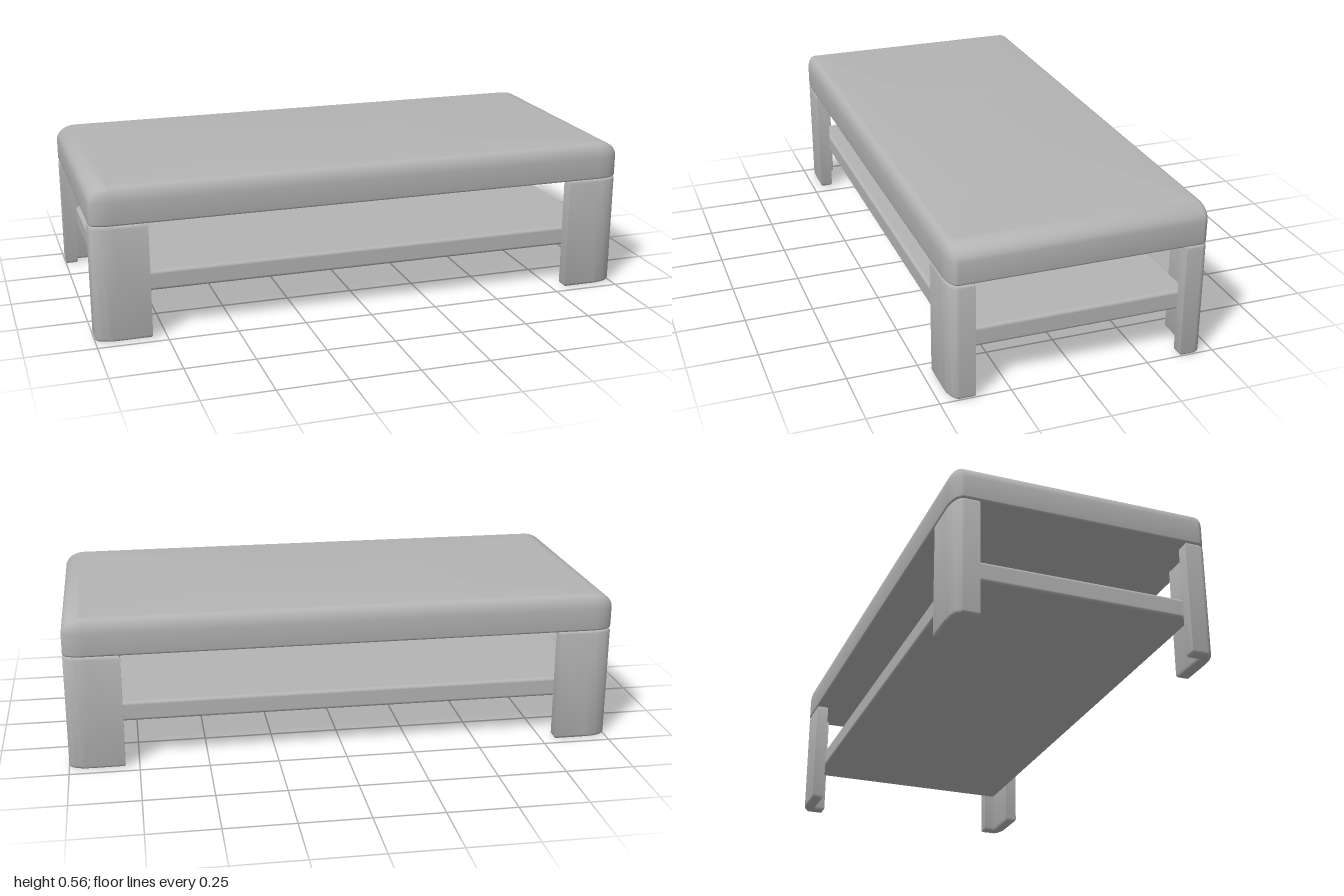
import * as THREE from 'three';
import { toCreasedNormals } from 'three/addons/utils/BufferGeometryUtils.js';
import { RoundedBoxGeometry } from 'three/addons/geometries/RoundedBoxGeometry.js';

const HX = 1, HZ = 0.465;        // half length and half depth
const RX = 0.08, RZ = 0.035;     // corner radii in plan
const TOP = 0.56, UNDER = 0.423; // table top heights

// Plan outline of a rectangle with elliptical corners
function outline(hx, hz, rx, rz, steps = 10) {
  const pts = [];
  for (let q = 0; q < 4; q++) {
    const sx = q === 0 || q === 3 ? 1 : -1, sz = q < 2 ? 1 : -1;
    for (let i = 0; i <= steps; i++) {
      const a = (q + i / steps) * Math.PI / 2;
      pts.push([sx * (hx - rx) + rx * Math.cos(a), sz * (hz - rz) + rz * Math.sin(a)]);
    }
  }
  return pts;
}

// Skin a stack of rings { y, pts } and close both ends
function loft(rings) {
  const n = rings[0].pts.length, pos = [], index = [];
  rings.forEach(({ y, pts }) => pts.forEach(([x, z]) => pos.push(x, y, z)));
  for (let r = 0; r < rings.length - 1; r++) {
    for (let i = 0; i < n; i++) {
      const a = r * n + i, b = r * n + (i + 1) % n;
      index.push(a, a + n, b, b, a + n, b + n);
    }
  }
  const last = (rings.length - 1) * n, c = pos.length / 3;
  pos.push(0, rings[0].y, 0, 0, rings[rings.length - 1].y, 0);
  for (let i = 0; i < n; i++) {
    const j = (i + 1) % n;
    index.push(c, i, j, c + 1, last + j, last + i);
  }
  const g = new THREE.BufferGeometry();
  g.setAttribute('position', new THREE.Float32BufferAttribute(pos, 3));
  g.setIndex(index);
  return toCreasedNormals(g, 0.6);
}

// Slab with a generous round-over above and a small one below
function tableTopGeometry() {
  const rings = [], steps = 8;
  for (let i = 0; i <= 3; i++) {
    const a = i / 3 * Math.PI / 2, d = 0.008 * (1 - Math.sin(a));
    rings.push({ y: UNDER + 0.008 * (1 - Math.cos(a)), pts: outline(HX - d, HZ - d, RX - d, RZ - d) });
  }
  for (let i = 0; i <= steps; i++) {
    const a = i / steps * Math.PI / 2, k = 1 - Math.cos(a);
    const dx = 0.07 * k, dz = 0.032 * k;
    rings.push({ y: TOP - 0.055 * (1 - Math.sin(a)), pts: outline(HX - dx, HZ - dz, RX - dx, RZ - dz) });
  }
  return loft(rings);
}

// Angle-section leg wrapping a corner; sx and sz pick the corner
function legGeometry(sx, sz) {
  const wall = 0.047, inX = 0.8, inZ = 0.375, bevel = 0.01;
  const pts = [[inX, HZ], [inX, HZ - wall], [HX - wall, HZ - wall], [HX - wall, inZ], [HX, inZ]];
  for (let i = 0; i <= 10; i++) {
    const a = i / 10 * Math.PI / 2;
    pts.push([HX - RX + RX * Math.cos(a), HZ - RZ + RZ * Math.sin(a)]);
  }
  const shape = new THREE.Shape(pts.map(([x, z]) => new THREE.Vector2(sx * x, -sz * z)));
  const g = new THREE.ExtrudeGeometry(shape, {
    depth: UNDER - 2 * bevel, bevelEnabled: true, bevelThickness: bevel,
    bevelSize: bevel, bevelOffset: -bevel, bevelSegments: 3,
  });
  g.rotateX(-Math.PI / 2).translate(0, bevel, 0);
  return toCreasedNormals(g, 0.6);
}

export function createModel() {
  const grey = new THREE.MeshStandardMaterial({ color: 0xb4b4b4 });
  grey.name = 'plain grey';
  const table = new THREE.Group();
  table.name = 'coffeeTable';

  const add = (name, geometry) => {
    const mesh = new THREE.Mesh(geometry, grey);
    mesh.name = name;
    table.add(mesh);
    return mesh;
  };

  add('tableTop', tableTopGeometry());

  // Lower shelf fitted inside the angle legs
  add('lowerShelf', new RoundedBoxGeometry(1.89, 0.073, 0.83, 4, 0.012)).position.y = 0.192;

  // Four corner legs
  for (const [end, sz] of [['front', 1], ['back', -1]]) {
    for (const [side, sx] of [['Left', 1], ['Right', -1]]) {
      add(`${end}${side}Leg`, legGeometry(sx, sz));
    }
  }
  return table;
}
